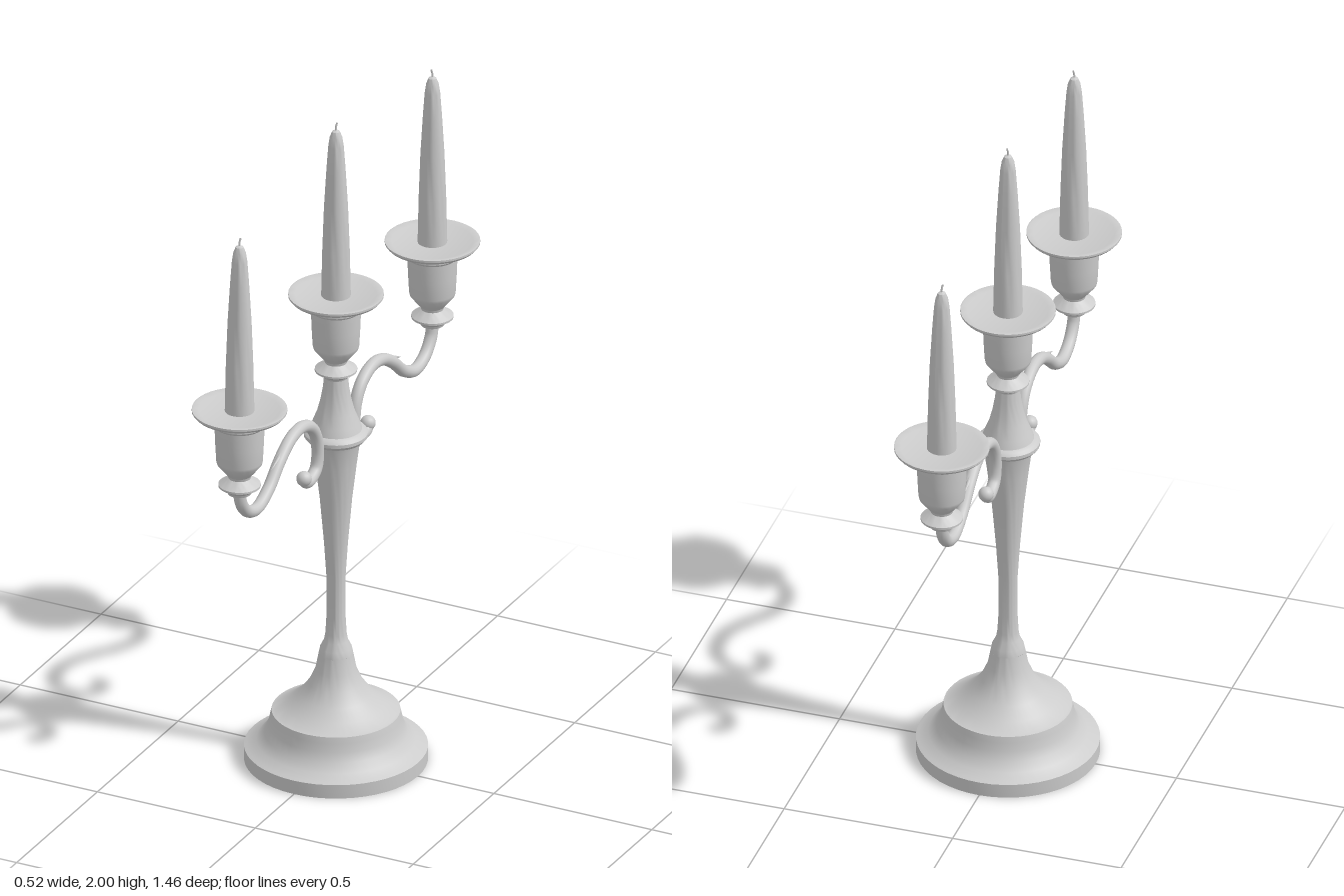
import * as THREE from 'three';
import { toCreasedNormals } from 'three/addons/utils/BufferGeometryUtils.js';

const material = new THREE.MeshStandardMaterial({ color: 0xcccccc, side: THREE.DoubleSide });

function addMesh(parent, name, geometry) {
  const mesh = new THREE.Mesh(geometry, material);
  mesh.name = name;
  parent.add(mesh);
  return mesh;
}

// Turned part from [radius, height] pairs, with sharp corners kept
function turned(parent, name, profile, segments = 36) {
  const points = profile.map(([r, y]) => new THREE.Vector2(r, y));
  return addMesh(parent, name, toCreasedNormals(new THREE.LatheGeometry(points, segments), 0.6));
}

// Socket, drip plate, candle and wick; y = 0 is the underside of the knop
function makeCandleHolder(name) {
  const holder = new THREE.Group();
  holder.name = name;
  turned(holder, 'knop', [
    [0, 0], [0.033, 0], [0.036, 0.008], [0.06, 0.024], [0.06, 0.03],
    [0.042, 0.042], [0.032, 0.05], [0.034, 0.058],
  ]);
  turned(holder, 'socket', [
    [0.034, 0.058], [0.046, 0.072], [0.064, 0.095], [0.066, 0.104],
    [0.069, 0.16], [0.071, 0.215], [0.077, 0.222], [0.077, 0.242],
  ]);
  turned(holder, 'dripPlate', [
    [0, 0.24], [0.08, 0.24], [0.11, 0.244], [0.128, 0.252], [0.135, 0.26],
    [0.135, 0.266], [0.13, 0.267], [0.115, 0.262], [0, 0.26],
  ], 40);
  turned(holder, 'candle', [
    [0.042, 0.258], [0.039, 0.4], [0.034, 0.54], [0.027, 0.66], [0.022, 0.73],
    [0.018, 0.758], [0.011, 0.776], [0, 0.782],
  ], 24);
  const wickPath = new THREE.CatmullRomCurve3([
    new THREE.Vector3(0, 0.775, 0),
    new THREE.Vector3(0, 0.79, 0),
    new THREE.Vector3(0.002, 0.802, -0.003),
  ]);
  addMesh(holder, 'wick', new THREE.TubeGeometry(wickPath, 6, 0.003, 6));
  return holder;
}

// S-shaped arm reaching along +z, with a curl under the collar
function makeArm() {
  const arm = new THREE.Group();
  arm.name = 'arm';
  const path = new THREE.CatmullRomCurve3([
    [0.2, 0.968], [0.186, 0.95], [0.16, 0.947], [0.125, 0.965], [0.113, 1.005],
    [0.123, 1.065], [0.158, 1.112], [0.22, 1.137], [0.285, 1.128],
    [0.35, 1.09], [0.42, 1.032], [0.49, 1.004], [0.55, 1.022],
    [0.588, 1.065], [0.598, 1.11],
  ].map(([z, y]) => new THREE.Vector3(0, y, z)));
  addMesh(arm, 'armTube', new THREE.TubeGeometry(path, 90, 0.018, 14));
  addMesh(arm, 'curlTip', new THREE.SphereGeometry(0.022, 16, 12)).position.set(0, 0.967, 0.198);

  // Small pointed leaf lifting off the top of the arm
  const leaf = new THREE.ConeGeometry(0.016, 0.12, 12);
  leaf.rotateX(Math.PI / 2 + 0.36);
  addMesh(arm, 'leafTip', leaf).position.set(0, 1.106, 0.345);

  const holder = makeCandleHolder('sideCandleHolder');
  holder.position.set(0, 1.1, 0.597);
  arm.add(holder);
  return arm;
}

export function createModel() {
  const model = new THREE.Group();
  model.name = 'candelabrum';

  // Stepped round foot
  turned(model, 'foot', [
    [0, 0], [0.26, 0], [0.26, 0.042], [0.252, 0.046], [0.225, 0.06],
    [0.203, 0.083], [0.191, 0.11], [0.186, 0.135], [0.182, 0.153],
    [0.174, 0.155], [0.14, 0.175], [0.105, 0.204], [0.077, 0.24],
    [0.058, 0.283], [0.049, 0.33],
  ], 48);

  // Slender stem swelling towards the collar
  turned(model, 'stem', [
    [0.049, 0.33], [0.045, 0.35], [0.034, 0.372], [0.03, 0.395],
    [0.027, 0.45], [0.027, 0.57], [0.034, 0.68], [0.046, 0.82],
    [0.059, 0.93], [0.067, 0.99], [0.071, 1.005],
  ]);

  // Collar that carries the arms
  turned(model, 'collar', [
    [0.071, 1.005], [0.083, 1.008], [0.091, 1.018], [0.091, 1.028],
    [0.084, 1.036], [0.074, 1.04],
  ]);

  // Concave neck below the middle holder
  turned(model, 'neck', [
    [0.074, 1.04], [0.066, 1.062], [0.053, 1.095], [0.044, 1.13],
    [0.037, 1.17], [0.034, 1.202],
  ]);

  const middle = makeCandleHolder('middleCandleHolder');
  middle.position.y = 1.198;
  model.add(middle);

  // Front arm and its mirrored twin at the back
  for (const side of [0, 1]) {
    const arm = makeArm();
    arm.name = side ? 'backArm' : 'frontArm';
    arm.rotation.y = side * Math.PI;
    model.add(arm);
  }
  return model;
}
